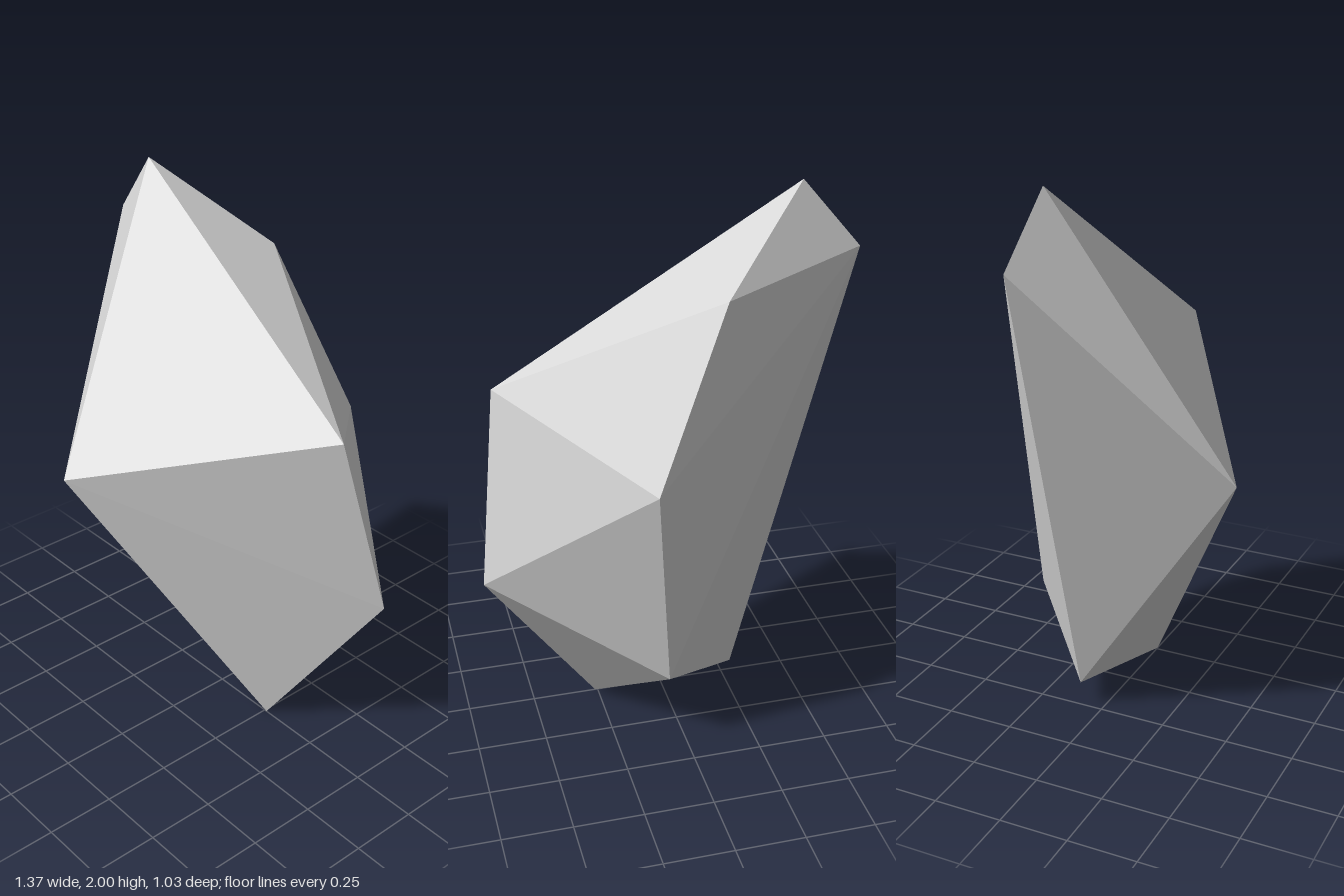
import * as THREE from 'three';

// Corner points of the faceted stone
const corners = {
  peak: [-0.48, 2, -0.072],
  shoulder: [-0.684, 1.76, -0.105],
  front: [-0.26, 1, 0.517],
  sideTop: [0.6, 1.32, -0.002],
  sideMid: [0.684, 0.64, -0.157],
  foot: [0.26, 0, 0],
  heel: [-0.26, 0.1, -0.08],
  backTop: [-0.137, 1.703, -0.365],
  backMid: [0.135, 1.1, -0.517],
  backLow: [0.07, 0.3, -0.413],
};

// Facets, counter-clockwise seen from outside
const facets = [
  // front
  'peak shoulder front', 'peak front sideTop',
  'front foot sideMid', 'front sideMid sideTop',
  'shoulder heel front', 'front heel foot',
  // top and back
  'peak backTop shoulder', 'peak sideTop backTop',
  'backTop sideTop backMid', 'backTop backMid shoulder',
  'sideTop sideMid backMid', 'backMid sideMid backLow',
  'shoulder backMid backLow', 'shoulder backLow heel',
  // underside
  'sideMid foot backLow', 'heel backLow foot',
];

export function createModel() {
  const group = new THREE.Group();
  group.name = 'rock';

  const stoneGrey = new THREE.MeshStandardMaterial({ color: 0xd4d4d4, flatShading: true });
  stoneGrey.name = 'stoneGrey';

  // Unshared corners keep every facet flat
  const points = facets.flatMap((f) => f.split(' ').map((n) => new THREE.Vector3(...corners[n])));
  const geometry = new THREE.BufferGeometry().setFromPoints(points);
  geometry.computeVertexNormals();

  const stone = new THREE.Mesh(geometry, stoneGrey);
  stone.name = 'stone';
  group.add(stone);
  return group;
}
